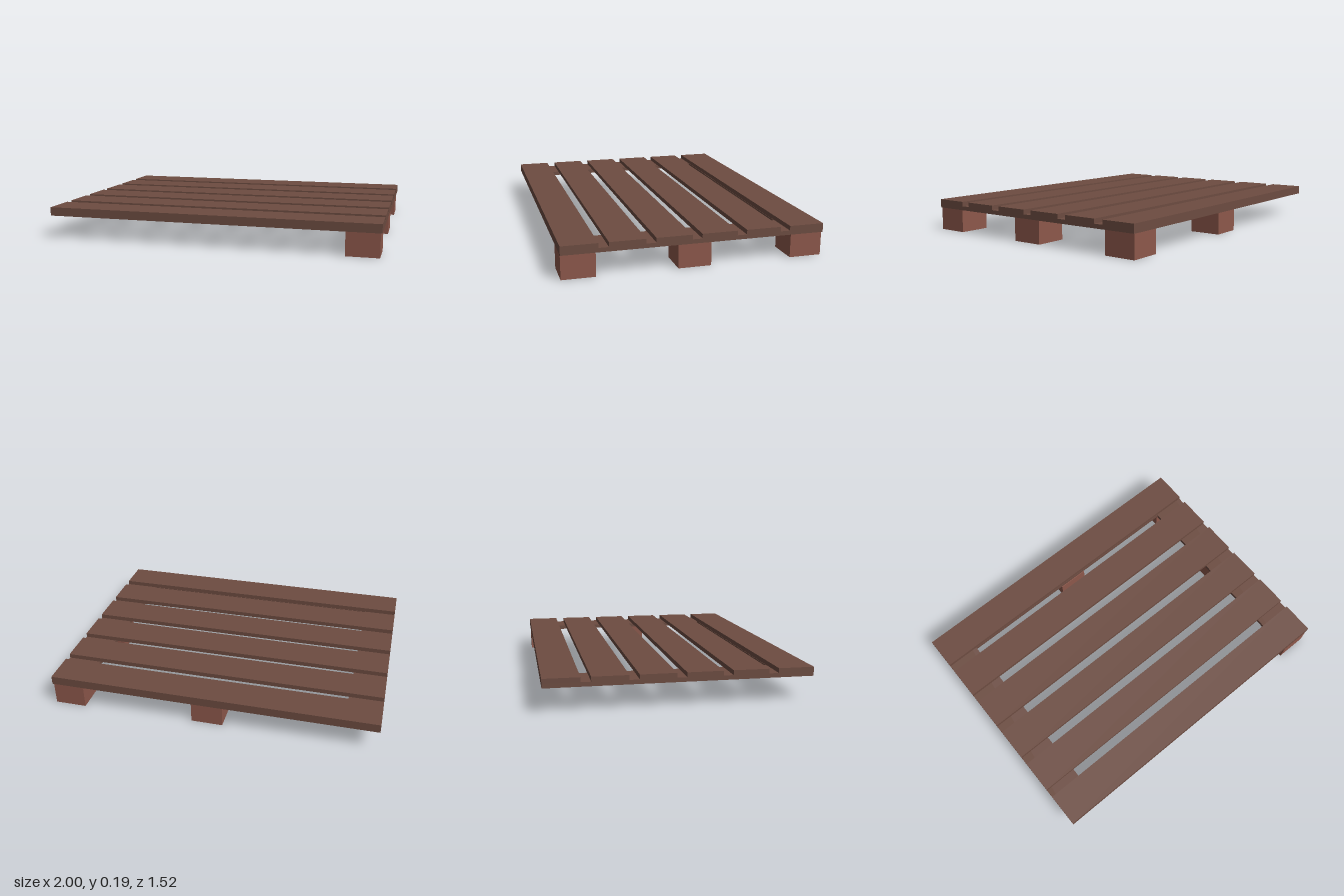
import * as THREE from 'three';

export function createModel() {
  const model = new THREE.Group();
  model.name = 'pallet';

  const plankBrown = new THREE.MeshStandardMaterial({ color: 0x6d4c41 });
  plankBrown.name = 'plank brown';
  const blockBrown = new THREE.MeshStandardMaterial({ color: 0x8d584b });
  blockBrown.name = 'block brown';

  const addBox = (name, material, size, centre) => {
    const mesh = new THREE.Mesh(new THREE.BoxGeometry(...size), material);
    mesh.name = name;
    mesh.position.set(...centre);
    model.add(mesh);
  };

  // Six deck slats with narrow gaps between them
  for (let i = 0; i < 6; i++) {
    addBox('deckSlat', plankBrown, [2, 0.027, 0.206], [0, 0.1775, (i - 2.5) * 0.262]);
  }

  // Flat frame under the deck: end boards across, edge boards between them
  for (const side of [-1, 1]) {
    addBox('frameEndBoard', plankBrown, [0.208, 0.025, 1.516], [side * 0.896, 0.1515, 0]);
    addBox('frameEdgeBoard', plankBrown, [1.584, 0.025, 0.208], [0, 0.1515, side * 0.654]);
  }

  // Feet: three along the left end, one midway along the back edge
  for (const [x, z] of [[0.896, 0.662], [0.896, 0.011], [0.896, -0.658], [0.022, -0.641]]) {
    addBox('footBlock', blockBrown, [0.192, 0.14, 0.191], [x, 0.07, z]);
  }

  return model;
}
